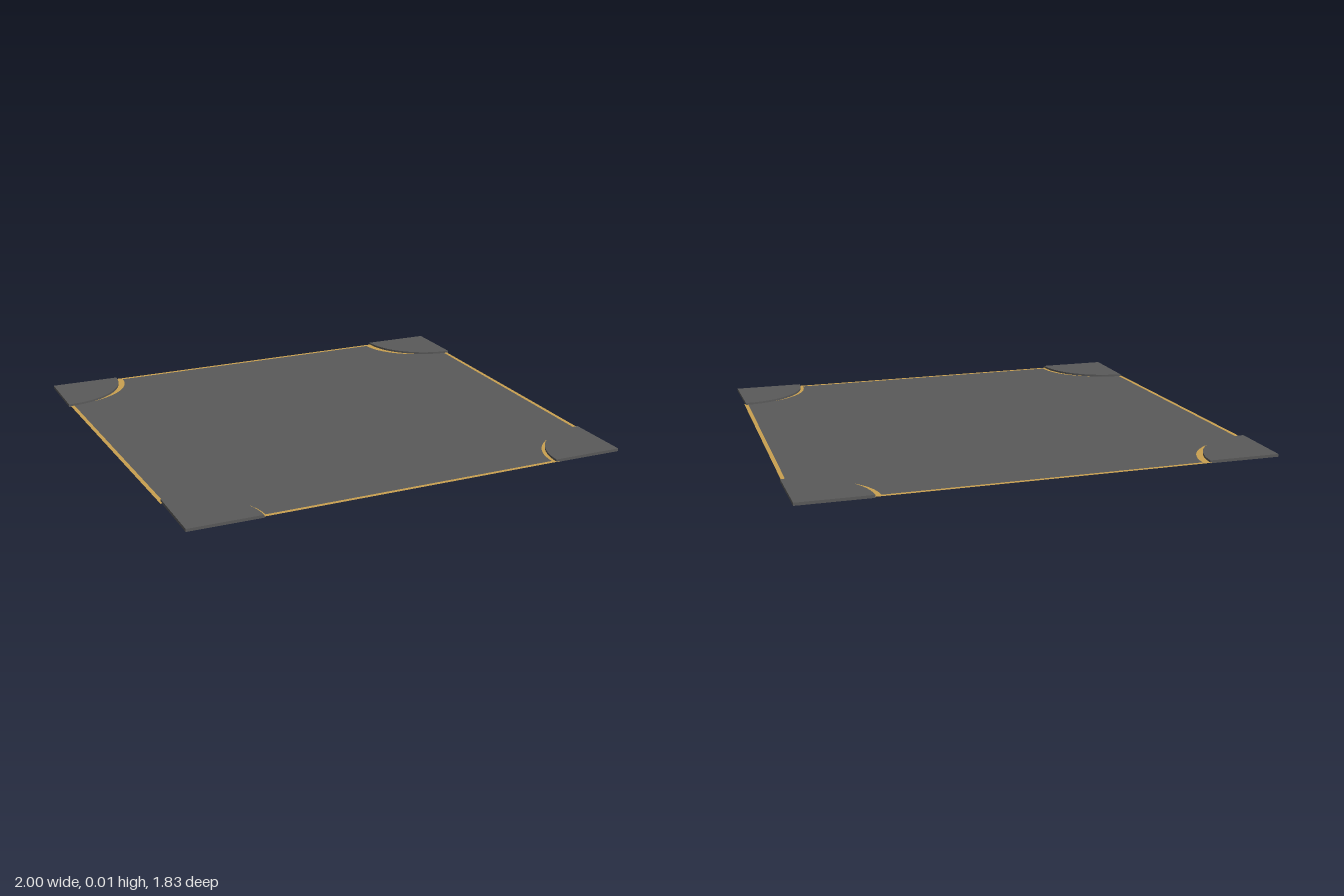
import * as THREE from 'three';

// Slightly skewed square: corner point, outward signs, width of the panel's scooped corner
const CORNERS = [
  { name: 'backLeftOfPlan', x: -1, z: -0.895, sx: -1, sz: -1, scoop: 0.335 },
  { name: 'backRightOfPlan', x: 1, z: -0.918, sx: 1, sz: -1, scoop: 0.335 },
  { name: 'frontRightOfPlan', x: 0.965, z: 0.893, sx: 1, sz: 1, scoop: 0.32 },
  { name: 'frontLeftOfPlan', x: -0.95, z: 0.915, sx: -1, sz: 1, scoop: 0.32 },
];
const PLATE_RX = 0.307, PLATE_RZ = 0.297, PLATE_HEIGHT = 0.012, SHEET_Y = 0.003;

// Quarter ellipse around a corner, running from the side edge to the front/back edge
function cornerArc(c, inset, rx, rz, steps = 24) {
  const pts = [];
  for (let i = 0; i <= steps; i++) {
    const a = (i / steps) * Math.PI / 2;
    pts.push(new THREE.Vector2(
      c.x - c.sx * (inset + (rx - inset) * Math.sin(a)),
      c.z - c.sz * (inset + (rz - inset) * Math.cos(a))));
  }
  return pts;
}

// Outline of the sheet with four scooped corners; edges follow the skewed square
function outline(inset, radii) {
  const pts = [];
  CORNERS.forEach((c, i) => {
    const [rx, rz] = radii(c);
    const arc = cornerArc(c, inset, rx, rz);
    const alongX = CORNERS.find((o) => o !== c && o.sz === c.sz);
    const alongZ = CORNERS.find((o) => o !== c && o.sx === c.sx);
    // Slide the arc's ends onto the slanted edges
    const n = arc.length - 1;
    arc[0].x += (alongZ.x - c.x) * rz / Math.abs(alongZ.z - c.z);
    arc[n].y += (alongX.z - c.z) * rx / Math.abs(alongX.x - c.x);
    pts.push(...(i % 2 ? arc.reverse() : arc));
  });
  return pts;
}

export function createModel() {
  const grey = new THREE.MeshStandardMaterial({ color: 0x595959 });
  grey.name = 'dark grey';
  const greySheet = new THREE.MeshStandardMaterial({ color: 0x595959, side: THREE.DoubleSide });
  greySheet.name = 'dark grey sheet';
  const gold = new THREE.MeshStandardMaterial({ color: 0xc9a050, side: THREE.DoubleSide });
  gold.name = 'gold';

  const model = new THREE.Group();
  model.name = 'corneredPanel';

  const add = (name, geometry, material, y) => {
    geometry.rotateX(Math.PI / 2).translate(0, y, 0);
    const mesh = new THREE.Mesh(geometry, material);
    mesh.name = name;
    model.add(mesh);
  };
  // Turn a flat sheet so that its front faces up
  const sheet = (shape) => {
    const g = new THREE.ShapeGeometry(shape);
    const idx = g.index.array;
    for (let i = 0; i < idx.length; i += 3) [idx[i], idx[i + 1]] = [idx[i + 1], idx[i]];
    const nor = g.attributes.normal;
    for (let i = 0; i < nor.count; i++) nor.setZ(i, -1);
    return g;
  };

  // Main panel and the thin trim around it
  const panelPoints = outline(0.017, (c) => [c.scoop, 0.288]);
  add('panel', sheet(new THREE.Shape(panelPoints)), greySheet, SHEET_Y);
  const trim = new THREE.Shape(outline(0, () => [0.29, 0.275]));
  trim.holes.push(new THREE.Path(panelPoints));
  add('trim', sheet(trim), gold, SHEET_Y);

  // Raised quarter-round plates on the corners
  for (const c of CORNERS) {
    const shape = new THREE.Shape([new THREE.Vector2(c.x, c.z), ...cornerArc(c, 0, PLATE_RX, PLATE_RZ)]);
    const g = new THREE.ExtrudeGeometry(shape, { depth: PLATE_HEIGHT, bevelEnabled: false });
    add(c.name + 'CornerPlate', g, grey, PLATE_HEIGHT);
  }
  return model;
}
